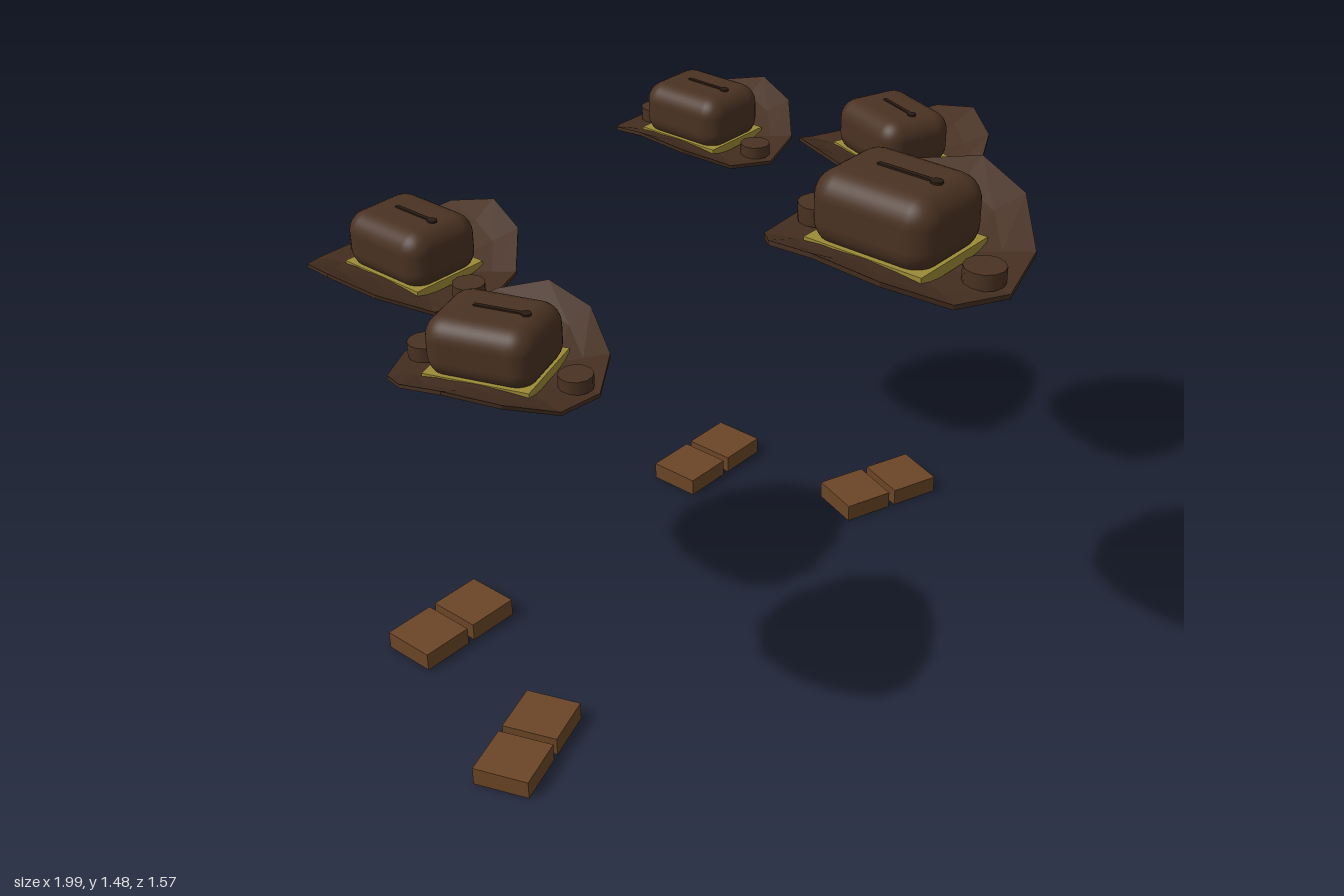
import * as THREE from 'three';
import { RoundedBoxGeometry } from 'three/addons/geometries/RoundedBoxGeometry.js';

const mat = (color, flatShading = false) => {
  const m = new THREE.MeshStandardMaterial({ color });
  m.flatShading = flatShading;
  return m;
};
const felt = mat(0x4a3222);
const brimFelt = mat(0x462f21, true);
const dark = mat(0x2a1c13);
const gold = mat(0x9c8a36);
const leather = mat(0x6b4526);

function add(parent, name, geometry, material, x = 0, y = 0, z = 0) {
  const mesh = new THREE.Mesh(geometry, material);
  mesh.name = name;
  mesh.position.set(x, y, z);
  parent.add(mesh);
  return mesh;
}

// Twelve-sided brim, turned as a disc, then curled up at the sides and dipped at the front
function brimGeometry() {
  const t = 0.012;
  const radii = [0, 0.25, 0.5, 0.75, 1];
  const profile = [
    ...radii.map(r => new THREE.Vector2(r, -t)),
    ...radii.slice().reverse().map(r => new THREE.Vector2(r, 0)),
  ];
  const g = new THREE.LatheGeometry(profile, 12);
  const p = g.attributes.position;
  for (let i = 0; i < p.count; i++) {
    const x = p.getX(i), z = p.getZ(i), r = Math.hypot(x, z) || 1e-6;
    const curl = 0.12 * Math.pow(Math.abs(x) / r, 2.3) * Math.pow(r, 1.6);
    const dip = z > 0 ? 0.012 * z * z : 0;
    p.setXYZ(i, x * 0.33, p.getY(i) + curl - dip, z * 0.2975);
  }
  g.computeVertexNormals();
  return g;
}

// Hat with its origin at the middle of the brim
function makeHat() {
  const hat = new THREE.Group();
  hat.name = 'hat';
  add(hat, 'brim', brimGeometry(), brimFelt);
  add(hat, 'hatBand', new THREE.BoxGeometry(0.262, 0.028, 0.32), gold, 0, 0.016, -0.01);
  add(hat, 'crown', new RoundedBoxGeometry(0.265, 0.185, 0.33, 4, 0.065), felt, 0, 0.1, -0.01);

  // Crease along the crown, ending in a small round dent
  add(hat, 'crownCrease', new THREE.BoxGeometry(0.012, 0.012, 0.155), dark, 0, 0.191, 0.012);
  add(hat, 'creaseEnd', new THREE.CylinderGeometry(0.015, 0.015, 0.012, 12), dark, 0, 0.191, 0.09);

  // Round buttons on the front and back of the brim
  add(hat, 'frontButton', new THREE.CylinderGeometry(0.05, 0.05, 0.04, 12), felt, 0, 0.016, 0.2275);
  add(hat, 'backButton', new THREE.CylinderGeometry(0.05, 0.05, 0.044, 12), felt, 0, 0.03, -0.2275);
  return hat;
}

// Pair of flat block feet
function makeFeet() {
  const feet = new THREE.Group();
  feet.name = 'feet';
  for (const s of [-1, 1]) {
    add(feet, s > 0 ? 'leftFoot' : 'rightFoot', new THREE.BoxGeometry(0.145, 0.05, 0.15), leather, s * 0.0825, 0.025, 0);
  }
  return feet;
}

export function createModel() {
  const model = new THREE.Group();
  model.name = 'hatsAndFeet';

  // Large hat in front
  const lead = makeHat();
  lead.name = 'leadHat';
  lead.position.set(0, 1.28, 0.483);
  model.add(lead);

  // Two smaller figures on each side, the outer ones turned inwards
  for (const s of [-1, 1]) {
    for (const [x, z, turn] of [[0.535, -0.55, 0], [0.742, -0.05, -0.345]]) {
      const figure = new THREE.Group();
      figure.name = (s > 0 ? 'left' : 'right') + (turn ? 'Middle' : 'Back') + 'Figure';
      figure.position.set(s * x, 0, z);
      figure.rotation.y = s * turn;
      const hat = makeHat();
      hat.position.y = 1.1;
      hat.scale.setScalar(0.8);
      figure.add(hat, makeFeet());
      model.add(figure);
    }
  }
  return model;
}
